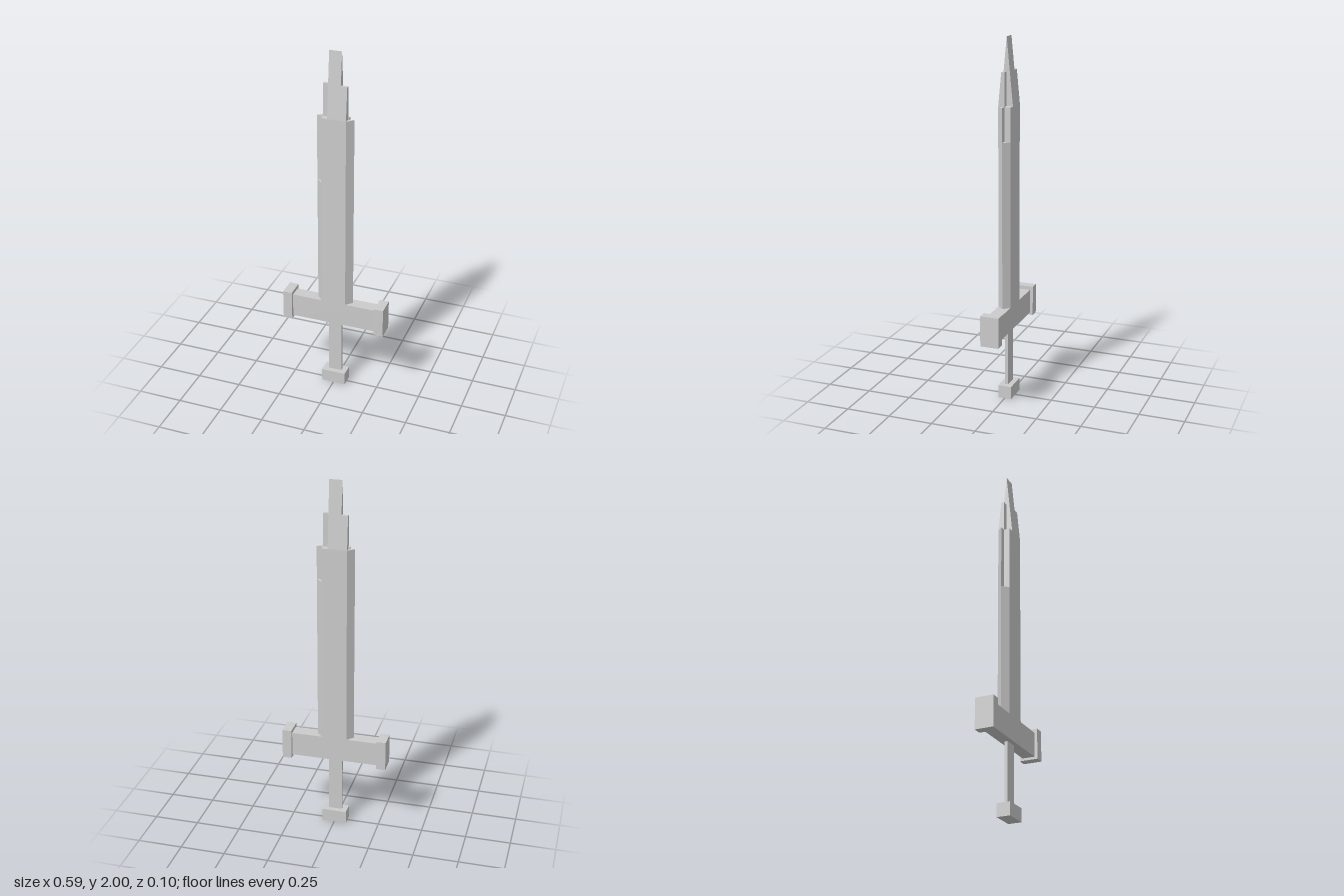
import * as THREE from 'three';

const material = new THREE.MeshStandardMaterial({ color: 0xcccccc, flatShading: true });

// Main blade dimensions
const HALF_WIDTH = 0.0685, EDGE_X = 0.1025, HALF_DEPTH = 0.0345;
const GUARD_TOP = 0.54, SHOULDER = 1.64, STEP = 1.82, TOP = 2;

function add(parent, name, geometry) {
  const mesh = new THREE.Mesh(geometry, material);
  mesh.name = name;
  parent.add(mesh);
  return mesh;
}

// Box given by its x centre, bottom, top and half sizes
function block(parent, name, x, y0, y1, halfX, halfZ) {
  const geometry = new THREE.BoxGeometry(halfX * 2, y1 - y0, halfZ * 2);
  geometry.translate(x, (y0 + y1) / 2, 0);
  return add(parent, name, geometry);
}

function extrude(points, depth) {
  const shape = new THREE.Shape(points.map(([a, b]) => new THREE.Vector2(a, b)));
  return new THREE.ExtrudeGeometry(shape, { depth, bevelEnabled: false });
}

// Triangular prism for one quarter of the cutting edges
function edge(parent, name, sx, sz, top) {
  const geometry = extrude([
    [sx * HALF_WIDTH, 0],
    [sx * EDGE_X, 0],
    [sx * HALF_WIDTH, -sz * HALF_DEPTH],
  ], top - GUARD_TOP);
  geometry.rotateX(-Math.PI / 2).translate(0, GUARD_TOP, 0);
  add(parent, name, geometry);
}

// Half wedge from x0 to x1, cut flat at height top
function wedge(parent, name, x0, x1, top) {
  const z = HALF_DEPTH * (TOP - top) / (TOP - SHOULDER);
  const points = [[0, SHOULDER], [HALF_DEPTH, SHOULDER]];
  if (z > 0) points.push([z, top]);
  points.push([0, top]);
  const geometry = extrude(points, x1 - x0);
  geometry.rotateY(-Math.PI / 2).translate(x1, 0, 0);
  add(parent, name, geometry);
}

export function createModel() {
  const sword = new THREE.Group();
  sword.name = 'sword';

  // Hilt
  block(sword, 'pommel', 0, 0, 0.073, HALF_WIDTH, 0.0375);
  block(sword, 'grip', 0, 0.073, 0.404, 0.038, 0.009);
  block(sword, 'guard', 0, 0.404, GUARD_TOP, 0.2425, HALF_DEPTH);
  block(sword, 'guardEndLeft', 0.268, 0.39, 0.56, 0.026, 0.0515);
  block(sword, 'guardEndRight', -0.268, 0.39, 0.56, 0.026, 0.0515);

  // Blade with edges of uneven length
  block(sword, 'blade', 0, GUARD_TOP, SHOULDER, HALF_WIDTH, HALF_DEPTH);
  edge(sword, 'edgeFrontLeft', 1, 1, SHOULDER);
  edge(sword, 'edgeBackLeft', 1, -1, 1.457);
  edge(sword, 'edgeFrontRight', -1, 1, 1.272);
  edge(sword, 'edgeBackRight', -1, -1, SHOULDER);

  // Stepped tip: the back half is the front half turned around
  for (const side of ['Front', 'Back']) {
    const half = new THREE.Group();
    half.name = 'tip' + side;
    wedge(half, 'point' + side, -HALF_WIDTH / 2, HALF_WIDTH / 2, TOP);
    wedge(half, 'pointStep' + side, HALF_WIDTH / 2, HALF_WIDTH, STEP);
    if (side === 'Back') half.rotation.y = Math.PI;
    sword.add(half);
  }
  return sword;
}
